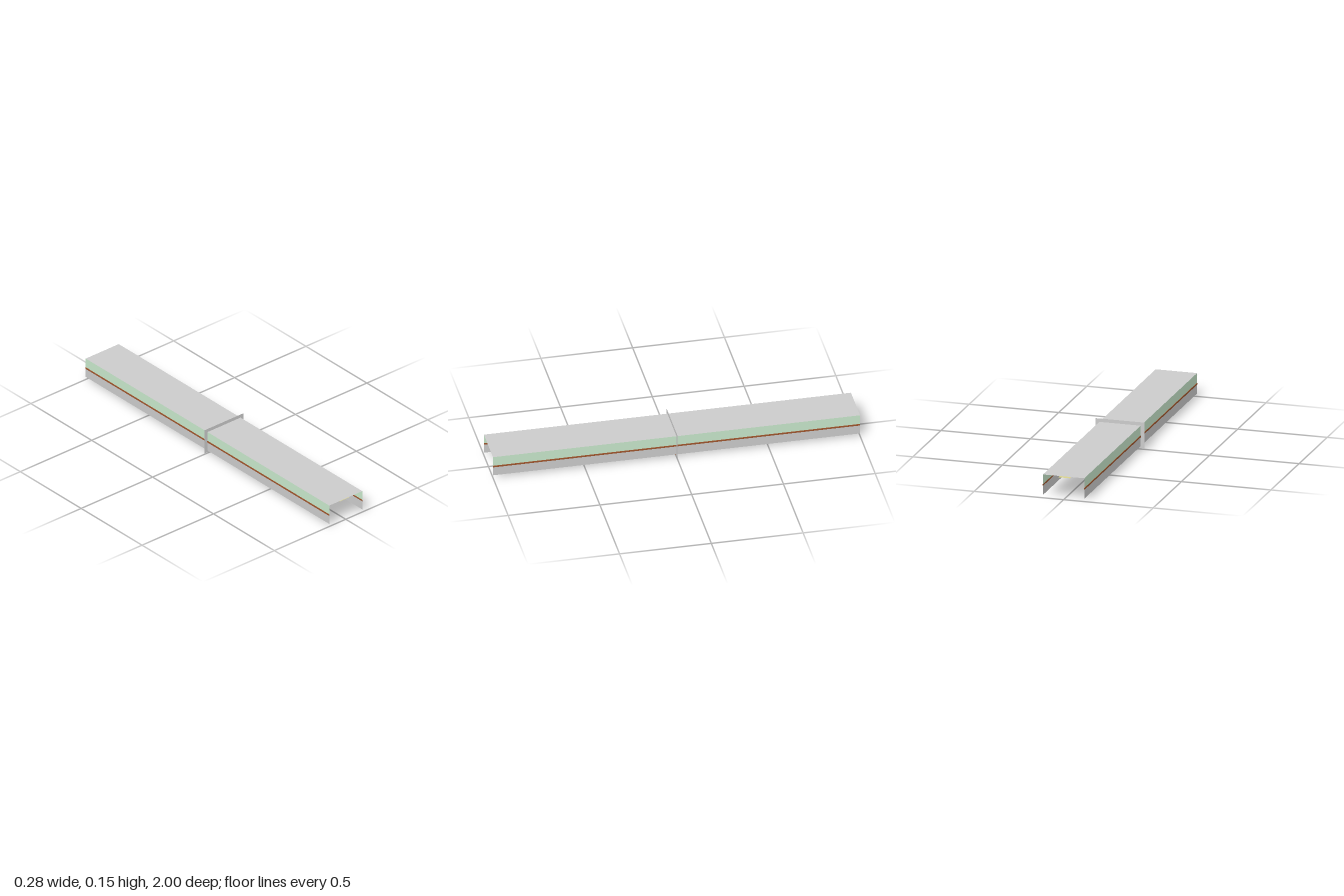
import * as THREE from 'three';

const material = (color, side = THREE.FrontSide) =>
  new THREE.MeshStandardMaterial({ color, side });

export function createModel() {
  const group = new THREE.Group();
  const grey = material(0xcccccc, THREE.DoubleSide);
  const green = material(0xc8e8cc, THREE.DoubleSide);
  const brown = material(0xa0562d);
  const lamp = material(0xd8d28c, THREE.DoubleSide);

  const add = (name, geometry, mat, x = 0, y = 0, z = 0) => {
    const mesh = new THREE.Mesh(geometry, mat);
    mesh.name = name;
    mesh.position.set(x, y, z);
    group.add(mesh);
    return mesh;
  };

  const halfWidth = 0.1155, length = 2;
  const floorY = 0.016, stripeY = 0.0715, roofY = 0.13;

  // Flat roof sheet
  add('roof', new THREE.PlaneGeometry(halfWidth * 2, length).rotateX(-Math.PI / 2), grey, 0, roofY);

  // Thin two-tone side walls with a trim rail showing on both faces
  const wall = (name, y0, y1, mat, side) =>
    add(name, new THREE.PlaneGeometry(length, y1 - y0).rotateY(side * Math.PI / 2),
      mat, side * halfWidth, (y0 + y1) / 2);
  for (const side of [-1, 1]) {
    const label = side > 0 ? 'left' : 'right';
    wall(label + 'LowerWall', floorY, stripeY, grey, side);
    wall(label + 'UpperWall', stripeY, roofY, green, side);
    add(label + 'Rail', new THREE.BoxGeometry(0.0025, 0.009, length), brown, side * 0.1163, stripeY);
  }

  // Thin portal frame across the middle, wider than the corridor
  const portal = new THREE.Shape([
    [-0.138, 0.005], [-0.138, 0.149], [0.138, 0.149], [0.138, 0.005],
    [0.094, 0.005], [0.094, 0.115], [-0.094, 0.115], [-0.094, 0.005],
  ].map(([x, y]) => new THREE.Vector2(x, y)));
  add('portalFrame', new THREE.ShapeGeometry(portal), grey);

  // Door lining with bevelled feet
  const lining = new THREE.Shape([
    [-0.094, 0], [-0.094, 0.115], [0.094, 0.115], [0.094, 0],
    [0.087, 0.006], [0.087, 0.111], [-0.087, 0.111], [-0.087, 0.006],
  ].map(([x, y]) => new THREE.Vector2(x, y)));
  const depth = 0.01;
  add('doorLining', new THREE.ExtrudeGeometry(lining, { depth, bevelEnabled: false }),
    brown, 0, 0, -depth / 2);

  // Row of ceiling light panels
  const lightCount = 14, lastZ = 0.962;
  const panel = new THREE.PlaneGeometry(0.065, 0.056).rotateX(Math.PI / 2);
  for (let i = 0; i < lightCount; i++) {
    add('ceilingLight' + (i + 1), panel, lamp, 0, 0.119, -lastZ + (2 * lastZ * i) / (lightCount - 1));
  }

  return group;
}
